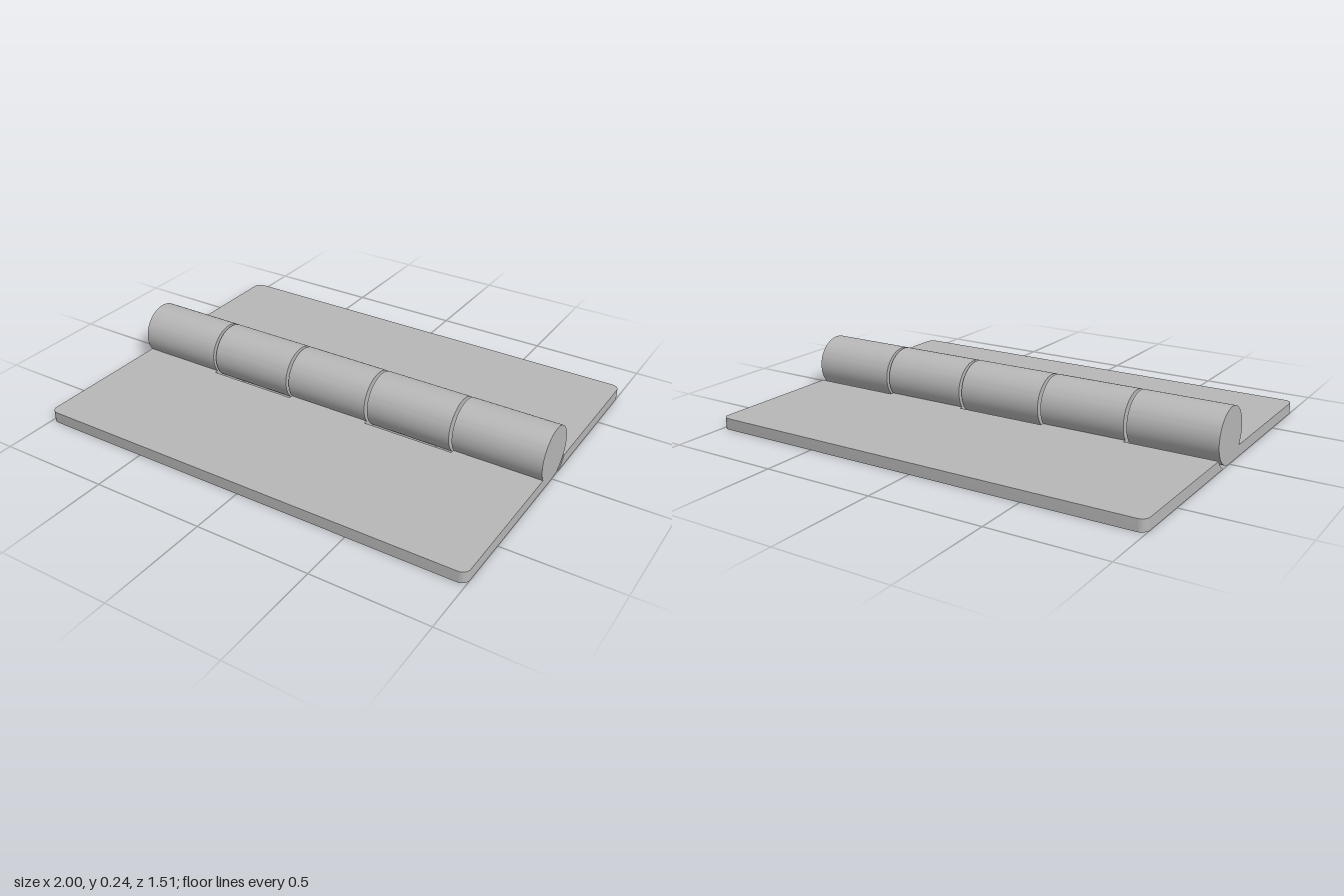
import * as THREE from 'three';
import { toCreasedNormals } from 'three/addons/utils/BufferGeometryUtils.js';

const R = 0.12;          // knuckle radius, also height of the hinge axis
const CLEAR = 0.135;     // radius of the clearance cut around the other leaf's knuckles
const T = 0.05;          // leaf thickness
const JOIN = 0.15;       // where knuckle strips meet the plain plate
const DEPTH = 0.757;     // axis to outer edge
const GAP = 0.007;       // half of the gap between knuckles

// Profiles are drawn as (distance from axis, height)
function knuckleProfile() {
  const s = new THREE.Shape();
  const z = Math.sqrt(R * R - (R - T) ** 2);
  s.moveTo(JOIN, 0);
  s.lineTo(JOIN, T);
  s.lineTo(z, T);
  s.absarc(0, R, R, Math.atan2(T - R, z), Math.PI * 1.5, false);
  s.closePath();
  return s;
}

function clearanceProfile() {
  const s = new THREE.Shape();
  const zTop = Math.sqrt(CLEAR ** 2 - (R - T) ** 2);
  const zLow = Math.sqrt(CLEAR ** 2 - R ** 2);
  s.moveTo(JOIN, 0);
  s.lineTo(JOIN, T);
  s.lineTo(zTop, T);
  s.absarc(0, R, CLEAR, Math.atan2(T - R, zTop), Math.atan2(-R, zLow), true);
  s.closePath();
  return s;
}

// Plate outline in x and z, with rounded outer corners
function plateShape() {
  const r = 0.035;
  const s = new THREE.Shape();
  s.moveTo(-1, JOIN);
  s.lineTo(1, JOIN);
  s.lineTo(1, DEPTH - r);
  s.absarc(1 - r, DEPTH - r, r, 0, Math.PI / 2, false);
  s.lineTo(-1 + r, DEPTH);
  s.absarc(-1 + r, DEPTH - r, r, Math.PI / 2, Math.PI, false);
  s.closePath();
  return s;
}

function extrude(shape, depth, curveSegments) {
  return new THREE.ExtrudeGeometry(shape, { depth, curveSegments, bevelEnabled: false });
}

export function createModel() {
  const steel = new THREE.MeshStandardMaterial({ color: 0xb8b8b8 });
  steel.name = 'steel grey';
  const model = new THREE.Group();
  model.name = 'hinge';

  function add(parent, geometry, name) {
    const mesh = new THREE.Mesh(toCreasedNormals(geometry, 0.5), steel);
    mesh.name = name;
    parent.add(mesh);
  }

  // Strip with a constant profile from x0 to x1
  function addStrip(parent, profile, x0, x1, segments, name) {
    const g = extrude(profile, x1 - x0, segments);
    g.rotateY(-Math.PI / 2);
    g.translate(x1, 0, 0);
    add(parent, g, name);
  }

  // Two leaves: the front one carries knuckles 0, 2, 4 and the back one 1, 3
  ['frontLeaf', 'backLeaf'].forEach((name, side) => {
    const leaf = new THREE.Group();
    leaf.name = name;
    const plate = extrude(plateShape(), T, 6);
    plate.rotateX(Math.PI / 2);
    plate.translate(0, T, 0);
    add(leaf, plate, 'plate');

    for (let i = 0; i < 5; i++) {
      const own = i % 2 === side;
      const inset = own ? GAP : -GAP;
      const x0 = Math.max(-1, i === 0 ? -1 : -1 + i * 0.4 + inset);
      const x1 = Math.min(1, i === 4 ? 1 : -0.6 + i * 0.4 - inset);
      if (own) addStrip(leaf, knuckleProfile(), x0, x1, 32, 'knuckle');
      else addStrip(leaf, clearanceProfile(), x0, x1, 6, 'clearanceEdge');
    }
    leaf.rotation.y = side * Math.PI;
    model.add(leaf);
  });

  // Pin, seen only in the gaps between knuckles
  const pin = new THREE.CylinderGeometry(0.055, 0.055, 1.3, 32);
  pin.rotateZ(Math.PI / 2);
  pin.translate(0, R, 0);
  add(model, pin, 'pin');

  return model;
}
